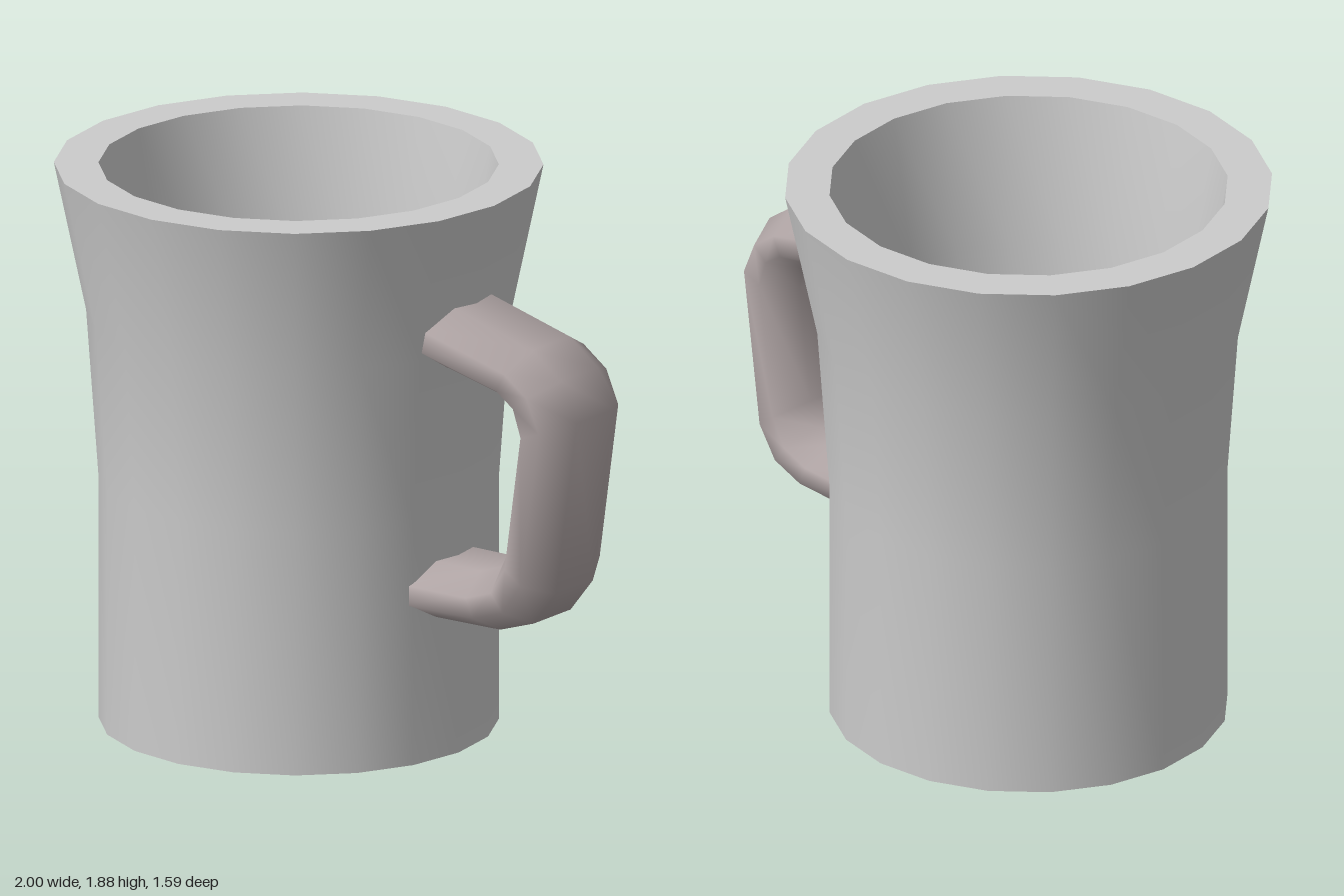
import * as THREE from 'three';
import { toCreasedNormals } from 'three/addons/utils/BufferGeometryUtils.js';

// Tapered cup: outer wall, flat rim, inner wall and floor in one turned profile
function createCup() {
  const profile = [
    [0, 0], [0.65, 0], [0.65, 0.82], [0.69, 1.38], [0.795, 1.88],
    [0.65, 1.88], [0.565, 1.38], [0.535, 0.82], [0.535, 0.15], [0, 0.15],
  ].map(([r, y]) => new THREE.Vector2(r, y));
  const geometry = toCreasedNormals(new THREE.LatheGeometry(profile, 20), 0.6);
  const cup = new THREE.Mesh(geometry, new THREE.MeshStandardMaterial({ color: 0xcccccc }));
  cup.name = 'cup';
  cup.position.x = -0.205;
  return cup;
}

// Handle: a flattened octagon carried along matching outer and inner outlines
function createHandle() {
  const outer = [[0.41, 1.565], [0.82, 1.455], [0.935, 1.37], [1.0, 1.24],
    [0.915, 0.645], [0.825, 0.53], [0.69, 0.485], [0.37, 0.48]];
  const inner = [[0.4, 1.352], [0.73, 1.275], [0.775, 1.245], [0.79, 1.17],
    [0.735, 0.78], [0.695, 0.7], [0.61, 0.67], [0.37, 0.67]];
  // section corners: share of half thickness, then z
  const section = [[1, -0.1], [1, 0.1], [0.35, 0.215], [-0.35, 0.215],
    [-1, 0.1], [-1, -0.1], [-0.35, -0.215], [0.35, -0.215]];
  const n = section.length;
  const positions = [];
  const indices = [];
  outer.forEach(([ox, oy], i) => {
    const [ix, iy] = inner[i];
    section.forEach(([u, z], j) => {
      const t = (1 + u) / 2;
      positions.push(ix + (ox - ix) * t, iy + (oy - iy) * t, z);
      if (i === outer.length - 1) return;
      const a = i * n + j, b = i * n + (j + 1) % n;
      indices.push(a, b, a + n, b, b + n, a + n);
    });
  });
  // end caps, buried in the cup wall
  const last = (outer.length - 1) * n;
  for (let j = 1; j < n - 1; j++) {
    indices.push(0, j + 1, j, last, last + j, last + j + 1);
  }
  const geometry = new THREE.BufferGeometry();
  geometry.setAttribute('position', new THREE.Float32BufferAttribute(positions, 3));
  geometry.setIndex(indices);
  const smooth = toCreasedNormals(geometry, 1.2);
  const handle = new THREE.Mesh(smooth, new THREE.MeshStandardMaterial({ color: 0xb0a5a5 }));
  handle.name = 'handle';
  return handle;
}

export function createModel() {
  const mug = new THREE.Group();
  mug.name = 'mug';
  mug.add(createCup(), createHandle());
  return mug;
}
